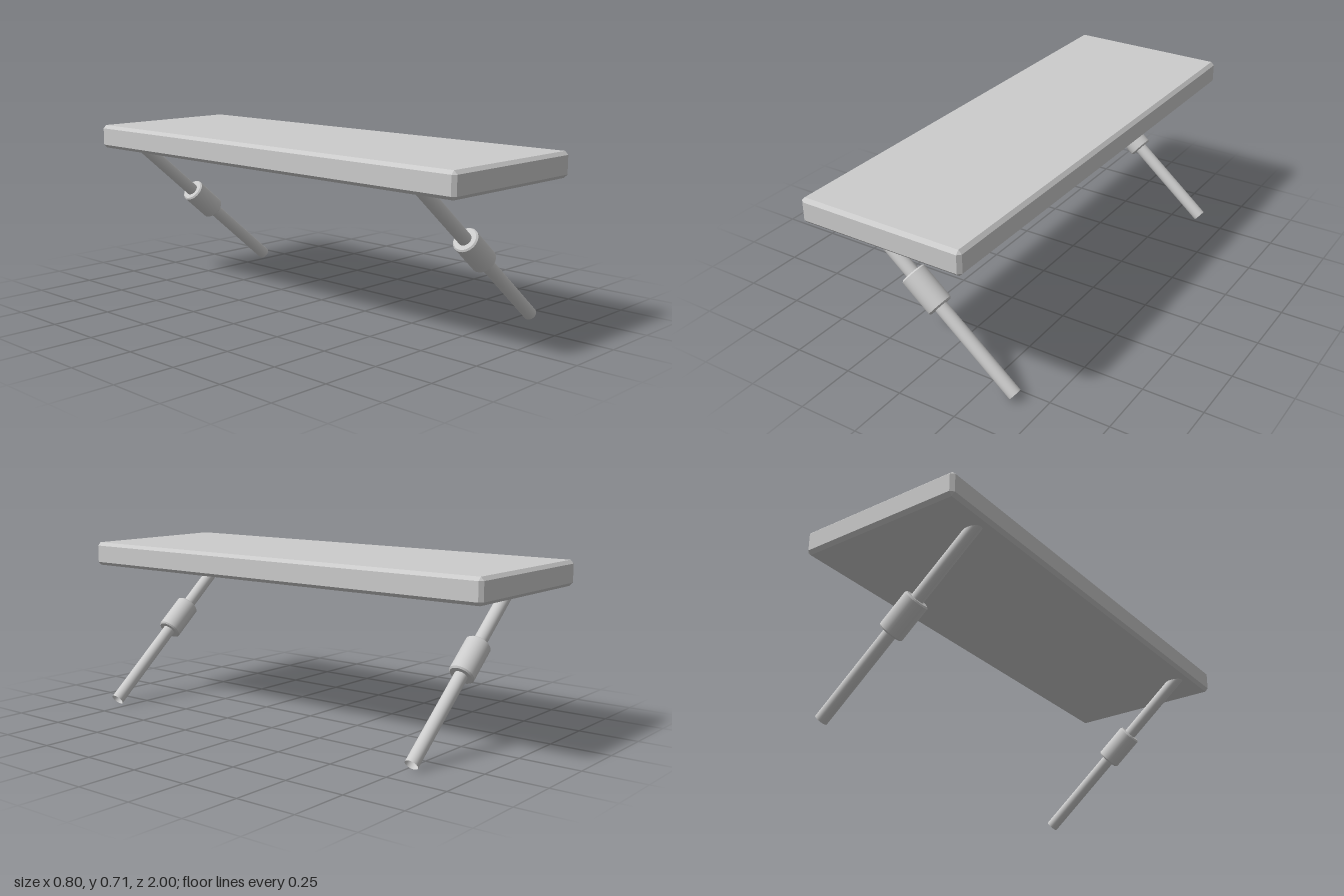
import * as THREE from 'three';
import { ConvexGeometry } from 'three/addons/geometries/ConvexGeometry.js';

const material = new THREE.MeshStandardMaterial({ color: 0xcccccc });
const thin = new THREE.MeshStandardMaterial({ color: 0xcccccc, side: THREE.DoubleSide });

// Box with every edge cut at 45 degrees: three points near each corner
function chamferedBox(w, h, d, c) {
  const points = [];
  for (const sx of [-1, 1]) for (const sy of [-1, 1]) for (const sz of [-1, 1]) {
    for (let axis = 0; axis < 3; axis++) {
      const p = [w / 2 - c, h / 2 - c, d / 2 - c];
      p[axis] += c;
      points.push(new THREE.Vector3(sx * p[0], sy * p[1], sz * p[2]));
    }
  }
  return new ConvexGeometry(points);
}

function createLeg() {
  const leg = new THREE.Group();
  leg.name = 'leg';

  // Open tube running from the foot up into the slab
  const length = 0.97;
  const tube = new THREE.Mesh(new THREE.CylinderGeometry(0.027, 0.027, length, 32, 1, true), thin);
  tube.name = 'legTube';
  tube.position.y = length / 2;
  leg.add(tube);

  // Thick sleeve with chamfered rims; repeated points keep the edges sharp
  const r = 0.052, half = 0.081, c = 0.006;
  const profile = [
    [0.026, -half], [r - c, -half], [r - c, -half], [r, -half + c], [r, -half + c],
    [r, half - c], [r, half - c], [r - c, half], [r - c, half], [0.026, half],
  ].map(([x, y]) => new THREE.Vector2(x, y));
  const parts = new THREE.Group();
  parts.name = 'sleeve';
  for (let i = 0; i < profile.length; i += 2) {
    const band = new THREE.Mesh(new THREE.LatheGeometry([profile[i], profile[i + 1]], 32), material);
    band.name = 'sleeveBand';
    parts.add(band);
  }
  parts.position.y = 0.503;
  leg.add(parts);

  // Lean back towards -x under the slab
  leg.position.set(0.38, 0.0245, 0);
  leg.rotation.z = THREE.MathUtils.degToRad(50);
  return leg;
}

export function createModel() {
  const model = new THREE.Group();
  model.name = 'bench';

  // Slab seat
  const seat = new THREE.Mesh(chamferedBox(0.705, 0.102, 2, 0.014), material);
  seat.name = 'seat';
  seat.position.set(-0.0475, 0.659, 0);
  model.add(seat);

  // Front and back slanted legs
  for (const [name, z] of [['frontLeg', 0.8], ['backLeg', -0.775]]) {
    const leg = createLeg();
    leg.name = name;
    leg.position.z = z;
    model.add(leg);
  }
  return model;
}
